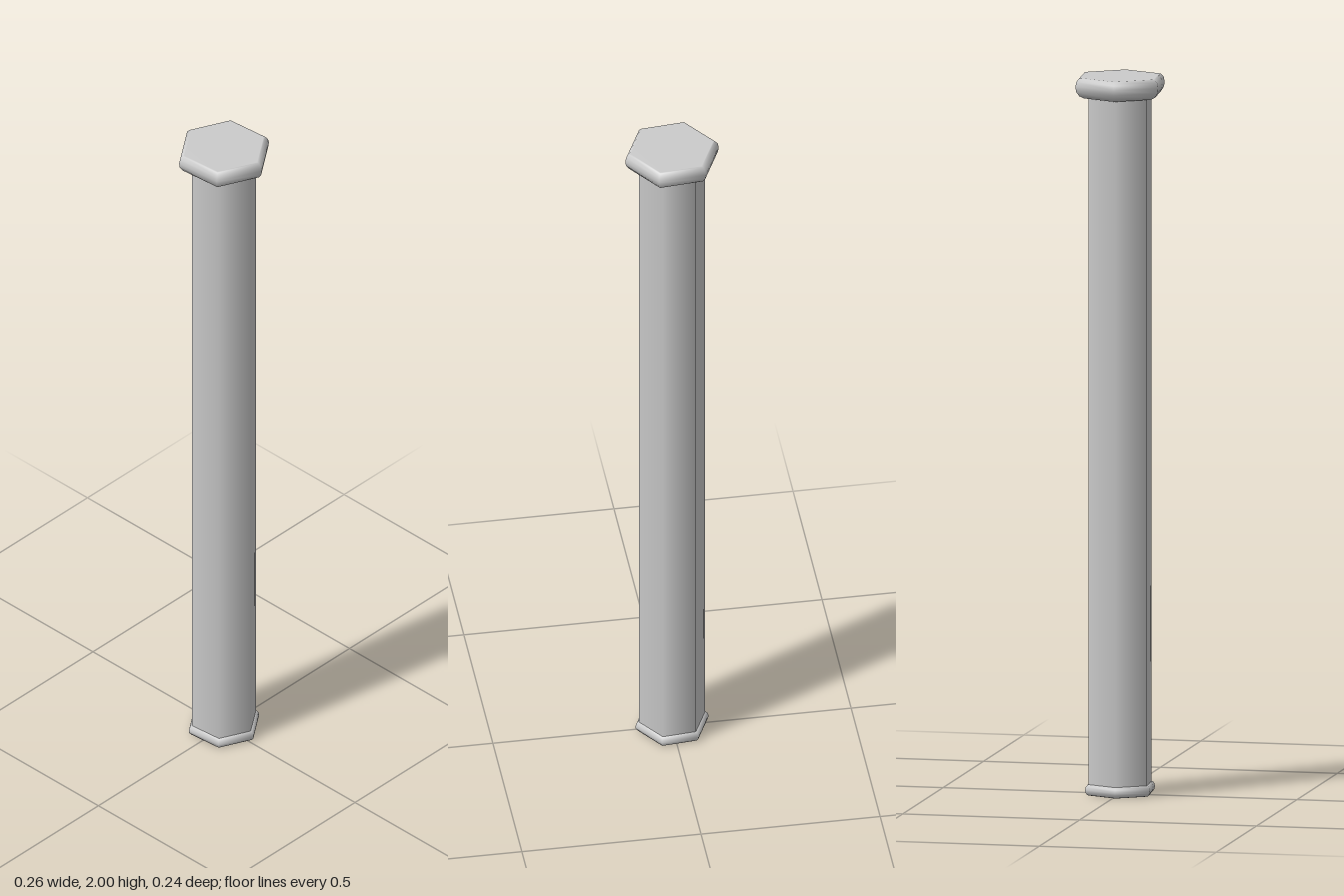
import * as THREE from 'three';

const SIDES = 6;
const TWIST = THREE.MathUtils.degToRad(35.2); // turns the hexagon slightly off axis

// Smooth six-sided part turned from a [radius, height] profile, bottom to top
function turned(name, profile, material) {
  const points = profile.map(([r, y]) => new THREE.Vector2(r, y));
  const mesh = new THREE.Mesh(new THREE.LatheGeometry(points, SIDES, TWIST), material);
  mesh.name = name;
  return mesh;
}

export function createModel() {
  const group = new THREE.Group();
  group.name = 'hexagonalPillar';
  const grey = new THREE.MeshStandardMaterial({ color: 0xcccccc });

  // Long straight shaft
  group.add(turned('shaft', [[0.094, 0.02], [0.094, 1.955]], grey));

  // Rounded head with a flat top
  group.add(turned('head', [
    [0, 1.942], [0.095, 1.942], [0.108, 1.943], [0.122, 1.95], [0.131, 1.963],
    [0.133, 1.977], [0.13, 1.99], [0.122, 1.999], [0.117, 2], [0, 2],
  ], grey));

  // Narrow rounded foot ring with a flat underside
  group.add(turned('foot', [
    [0, 0], [0.092, 0], [0.098, 0.002], [0.103, 0.009], [0.104, 0.016],
    [0.102, 0.024], [0.097, 0.03], [0.092, 0.031],
  ], grey));

  return group;
}
